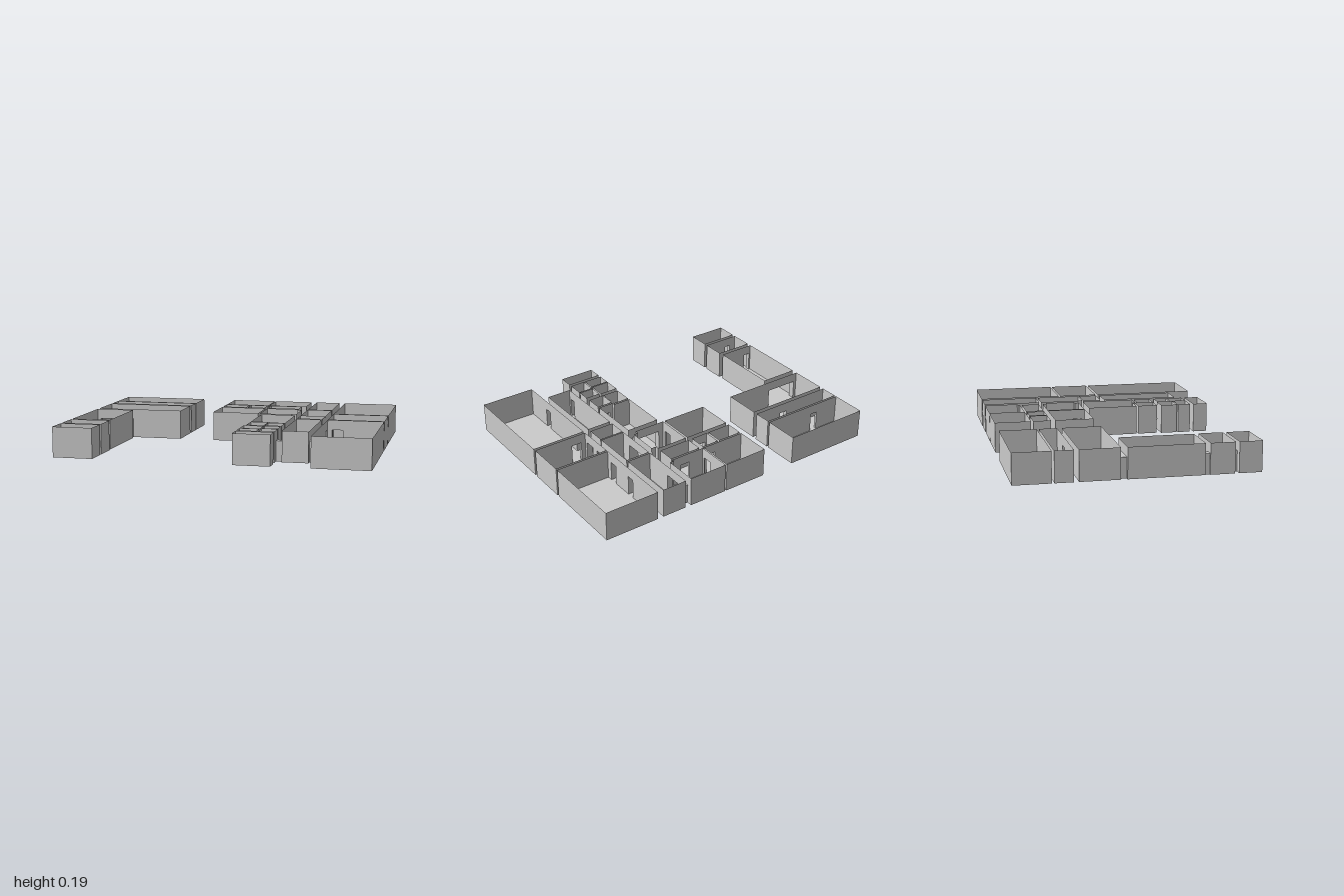
import * as THREE from 'three';
import { mergeGeometries } from 'three/addons/utils/BufferGeometryUtils.js';

const WALL = 0.195, DOOR = 0.13, EPS = 0.004;
const material = new THREE.MeshStandardMaterial({ color: 0xcccccc, side: THREE.DoubleSide });

// Rectangular rooms: x0, x1, z0, z1
const westRooms = [
  [-1, -0.415, -0.76, -0.525], [-1, -0.415, -0.51, -0.395], [-1, -0.415, -0.365, -0.115],
  [-1, -0.745, -0.075, 0.4], [-1, -0.74, 0.43, 0.585], [-1, -0.74, 0.61, 0.755],
];
const middleRooms = [
  [-0.18, 0.118, -0.76, -0.525], [-0.18, -0.015, -0.51, -0.395], [0, 0.115, -0.51, -0.395],
  [0.145, 0.36, -0.51, -0.395], [-0.18, 0.13, -0.365, -0.115],
];
const smallRooms = [
  [0.165, 0.277, 0.27, 0.4], [0.283, 0.39, 0.29, 0.4], [0.155, 0.28, 0.43, 0.54],
  [0.29, 0.39, 0.435, 0.52], [0.155, 0.28, 0.55, 0.635], [0.29, 0.39, 0.53, 0.635],
  [0.155, 0.39, 0.66, 0.755],
];
const corridors = [
  [0.43, 0.595, -0.76, -0.38], [0.43, 0.595, -0.365, -0.075],
  [0.43, 0.595, -0.065, 0.055], [0.43, 0.595, 0.085, 0.595],
];
const eastHalls = [
  [0.635, 1, -0.76, -0.21], [0.635, 1, -0.195, 0.06], [0.635, 1, 0.08, 0.755],
];

// Rooms with stepped outlines, as [x, z] corners
const steppedRooms = [
  [[0.128, -0.76], [0.39, -0.76], [0.39, -0.54], [0.36, -0.54], [0.36, -0.525], [0.128, -0.525]],
  [[0.145, -0.365], [0.36, -0.365], [0.36, -0.34], [0.39, -0.34], [0.39, -0.14], [0.36, -0.14],
    [0.36, -0.115], [0.145, -0.115]],
  [[0.165, -0.075], [0.39, -0.075], [0.39, 0.275], [0.285, 0.275], [0.285, 0.255], [0.165, 0.255]],
];

// Doorways running along z: x0, x1, z0, z1
const doorsZ = [
  [-0.83, -0.78, -0.525, -0.51], [-0.675, -0.62, -0.395, -0.365], [-0.98, -0.755, -0.115, -0.075],
  [-0.99, -0.945, 0.4, 0.43], [-0.955, -0.91, 0.585, 0.61], [0.03, 0.095, -0.525, -0.51],
  [0.23, 0.295, -0.525, -0.51], [0.01, 0.095, -0.395, -0.365], [0.18, 0.355, -0.115, -0.075],
  [0.31, 0.37, 0.275, 0.29], [0.235, 0.275, 0.54, 0.55], [0.33, 0.375, 0.52, 0.53],
  [0.33, 0.375, 0.635, 0.66], [0.665, 0.735, 0.06, 0.08],
];

// Doorways running along x
const doorsX = [
  [0.118, 0.128, -0.605, -0.54], [0.13, 0.145, -0.195, -0.135], [0.39, 0.43, -0.725, -0.57],
  [0.39, 0.43, -0.33, -0.145], [0.595, 0.635, -0.49, -0.44], [0.595, 0.635, -0.3, -0.245],
  [0.595, 0.635, -0.16, -0.08], [0.595, 0.635, -0.03, 0.04], [0.595, 0.635, 0.115, 0.17],
  [0.595, 0.612, 0.345, 0.4], [0.595, 0.635, 0.51, 0.56], [0.39, 0.43, 0.54, 0.58],
  [0.277, 0.283, 0.295, 0.36], [0.28, 0.29, 0.57, 0.615],
];

const corners = ([x0, x1, z0, z1]) => [[x0, z0], [x1, z0], [x1, z1], [x0, z1]];

// Flat horizontal panel inside an outline
function slab(outline, y) {
  const shape = new THREE.Shape(outline.map(([x, z]) => new THREE.Vector2(x, -z)));
  return new THREE.ShapeGeometry(shape).rotateX(-Math.PI / 2).translate(0, y, 0);
}

// Upright panel from a to b, notched at the floor for each opening [t0, t1]
function wall(a, b, height, openings = []) {
  const dx = b[0] - a[0], dz = b[1] - a[1], length = Math.hypot(dx, dz);
  const points = [[0, 0]];
  openings.sort((p, q) => p[0] - q[0]).forEach(([s, e]) => points.push([s, 0], [s, DOOR], [e, DOOR], [e, 0]));
  points.push([length, 0], [length, height], [0, height]);
  const shape = new THREE.Shape(points.map(([t, y]) => new THREE.Vector2(t, y)));
  return new THREE.ShapeGeometry(shape).rotateY(Math.atan2(-dz, dx)).translate(a[0], 0, a[1]);
}

// Openings where doorways meet the wall from a to b
function openingsOn(a, b) {
  const along = Math.abs(b[0] - a[0]) > EPS ? 0 : 1, across = 1 - along;
  const length = Math.abs(b[along] - a[along]), sign = Math.sign(b[along] - a[along]);
  const found = [];
  for (const d of along === 0 ? doorsZ : doorsX) {
    const ends = d.slice(across * 2, across * 2 + 2);
    if (!ends.some((e) => Math.abs(e - a[across]) < EPS)) continue;
    const t = d.slice(along * 2, along * 2 + 2).map((v) => (v - a[along]) * sign).sort((p, q) => p - q);
    const s = Math.max(t[0], 0.002), e = Math.min(t[1], length - 0.002);
    if (e - s > 0.01) found.push([s, e]);
  }
  return found;
}

// Open-topped room: a floor and walls with door openings
function room(outline, name) {
  const parts = [slab(outline, 0)];
  outline.forEach((a, i) => {
    const b = outline[(i + 1) % outline.length];
    parts.push(wall(a, b, WALL, openingsOn(a, b)));
  });
  const mesh = new THREE.Mesh(mergeGeometries(parts), material);
  mesh.name = name;
  return mesh;
}

// Short passage between rooms: threshold, two sides and a lintel
function doorway(rect, alongX) {
  const c = corners(rect);
  const sides = alongX ? [[c[0], c[1]], [c[3], c[2]]] : [[c[0], c[3]], [c[1], c[2]]];
  const parts = [slab(c, 0), slab(c, DOOR), ...sides.map(([a, b]) => wall(a, b, DOOR))];
  const mesh = new THREE.Mesh(mergeGeometries(parts), material);
  mesh.name = 'doorway';
  return mesh;
}

export function createModel() {
  const model = new THREE.Group();
  model.name = 'floorPlan';
  const addGroup = (name, meshes) => {
    const group = new THREE.Group();
    group.name = name;
    group.add(...meshes);
    model.add(group);
  };
  addGroup('westWing', westRooms.map((r) => room(corners(r), 'westRoom')));
  addGroup('middleWing', middleRooms.map((r) => room(corners(r), 'middleRoom')));
  addGroup('steppedRooms', steppedRooms.map((o) => room(o, 'steppedRoom')));
  addGroup('smallRooms', smallRooms.map((r) => room(corners(r), 'smallRoom')));
  addGroup('corridors', corridors.map((r) => room(corners(r), 'corridor')));
  addGroup('eastWing', eastHalls.map((r) => room(corners(r), 'eastHall')));
  addGroup('doorways', [
    ...doorsZ.map((d) => doorway(d, false)),
    ...doorsX.map((d) => doorway(d, true)),
  ]);
  return model;
}
